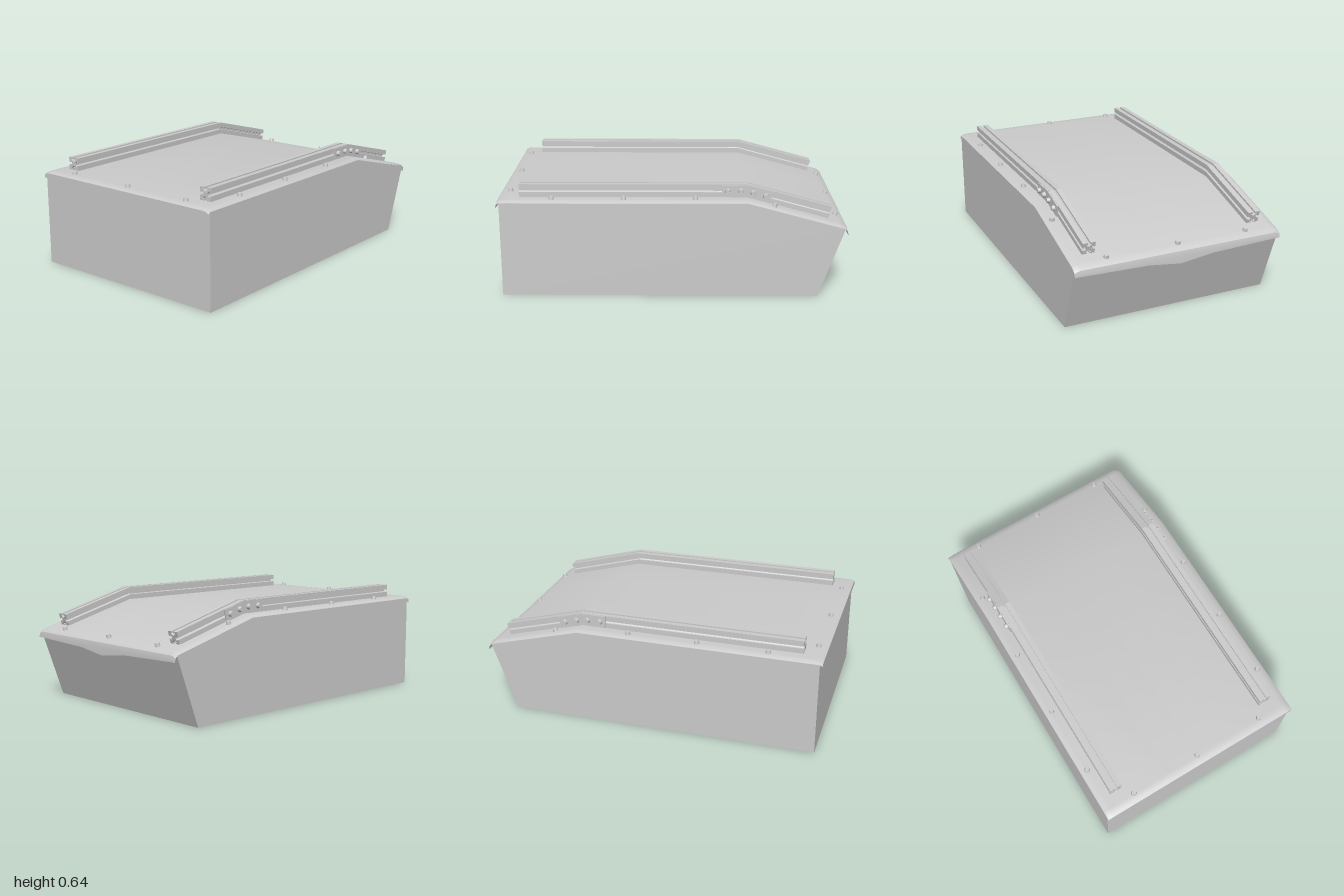
import * as THREE from 'three';
import { toCreasedNormals } from 'three/addons/utils/BufferGeometryUtils.js';

const material = new THREE.MeshStandardMaterial({ color: 0xcccccc });
const thinMaterial = new THREE.MeshStandardMaterial({ color: 0xcccccc, side: THREE.DoubleSide });
const SLOPE = 0.265; // downward pitch of the front part
const BEND = 0.43;

function add(parent, name, geometry, x = 0, y = 0, z = 0, mat = material) {
  const mesh = new THREE.Mesh(geometry, mat);
  mesh.name = name;
  mesh.position.set(x, y, z);
  parent.add(mesh);
  return mesh;
}

const shapeOf = (points) => new THREE.Shape(points.map(([x, y]) => new THREE.Vector2(x, y)));

// Height of the cover's top surface along x
const coverY = (x) => (x < BEND ? 0.57 : 0.57 - (x - BEND) * 0.268);

// Thin cover: a grid of stations along x and columns along z, with turned-down ends
function coverGeometry() {
  const stations = [
    [-1, 0.53], [-1, 0.56], [-0.985, 0.568], [-0.95, 0.57], [BEND, 0.57],
    [0.95, 0.43], [0.98, 0.42], [0.996, 0.405], [1, 0.385], [1, 0.37],
  ];
  const columns = [-0.632, -0.615, -0.59, -0.2, 0, 0.2, 0.59, 0.615, 0.632];
  const positions = [];
  const index = [];
  stations.forEach(([x, y], i) => {
    columns.forEach((z) => {
      const a = Math.abs(z);
      let drop = a > 0.62 ? 0.012 : a > 0.6 ? 0.003 : 0;
      // Front flap hangs lower towards the middle
      if (i === stations.length - 1) drop = a === 0 ? 0.038 : a === 0.2 ? 0.012 : 0;
      positions.push(x, i === 0 ? y : y - drop, z);
    });
  });
  const n = columns.length;
  for (let i = 0; i < stations.length - 1; i++) {
    for (let j = 0; j < n - 1; j++) {
      const a = i * n + j;
      index.push(a, a + 1, a + n, a + 1, a + n + 1, a + n);
    }
  }
  const geometry = new THREE.BufferGeometry();
  geometry.setAttribute('position', new THREE.Float32BufferAttribute(positions, 3));
  geometry.setIndex(index);
  return toCreasedNormals(geometry, 0.6);
}

// Slotted rail, running along +x from the origin, its top at y = 0
function railGeometry(length) {
  const h = 0.0375;
  const quarter = [[h, -h], [h, -0.008], [0.027, -0.008], [0.027, -0.018], [0.014, -0.006],
    [0.014, 0.006], [0.027, 0.018], [0.027, 0.008], [h, 0.008]];
  const points = [];
  for (let k = 0; k < 4; k++) {
    const c = [1, 0, -1, 0][k];
    const s = [0, 1, 0, -1][k];
    quarter.forEach(([x, y]) => points.push([x * c - y * s, x * s + y * c]));
  }
  const geometry = new THREE.ExtrudeGeometry(shapeOf(points), { depth: length, bevelEnabled: false });
  return geometry.rotateY(Math.PI / 2).translate(0, -h, 0);
}

// Straight rail, sloped rail and the bolted joining bracket on the outer side
function buildRail(side) {
  const rail = new THREE.Group();
  rail.name = side > 0 ? 'leftRail' : 'rightRail';
  rail.position.set(BEND, 0.645, side * 0.51);
  const sloped = new THREE.Group();
  sloped.name = 'slopedSection';
  sloped.rotation.z = -SLOPE;
  rail.add(sloped);
  add(rail, 'straightBar', railGeometry(1.31), -1.31);
  add(sloped, 'slopedBar', railGeometry(0.5));

  const plate = new THREE.BoxGeometry(0.155, 0.07, 0.008);
  const bolt = new THREE.CylinderGeometry(0.013, 0.017, 0.02, 12).rotateX(side * Math.PI / 2);
  add(rail, 'bracketPlate', plate, -0.0725, -0.037, side * 0.041);
  add(sloped, 'bracketPlate', plate, 0.0725, -0.037, side * 0.041);
  for (const x of [0.04, 0.115]) {
    add(rail, 'bracketBolt', bolt, -x, -0.037, side * 0.053);
    add(sloped, 'bracketBolt', bolt, x, -0.037, side * 0.053);
  }
  return rail;
}

export function createModel() {
  const model = new THREE.Group();
  model.name = 'coveredTub';

  // Tub with a raked front end
  const profile = [[-0.985, 0], [0.84, 0], [0.984, 0.405], [BEND, 0.555], [-0.985, 0.555]];
  const tub = new THREE.ExtrudeGeometry(shapeOf(profile), { depth: 1.26, bevelEnabled: false });
  add(model, 'tub', tub, 0, 0, -0.63);

  add(model, 'cover', coverGeometry(), 0, 0, 0, thinMaterial);

  // Snap fasteners around the cover
  const snap = new THREE.CylinderGeometry(0.012, 0.017, 0.024, 12);
  const spots = [];
  for (const x of [-0.69, -0.28, 0.13, 0.58]) spots.push([x, 0.59], [x, -0.59]);
  for (const x of [-0.945, 0.95]) for (const z of [-0.43, 0, 0.43]) spots.push([x, z]);
  for (const [x, z] of spots) {
    const mesh = add(model, 'snapFastener', snap, x, coverY(x) + 0.006, z);
    if (x > BEND) mesh.rotation.z = -SLOPE;
  }

  model.add(buildRail(1), buildRail(-1));
  return model;
}
